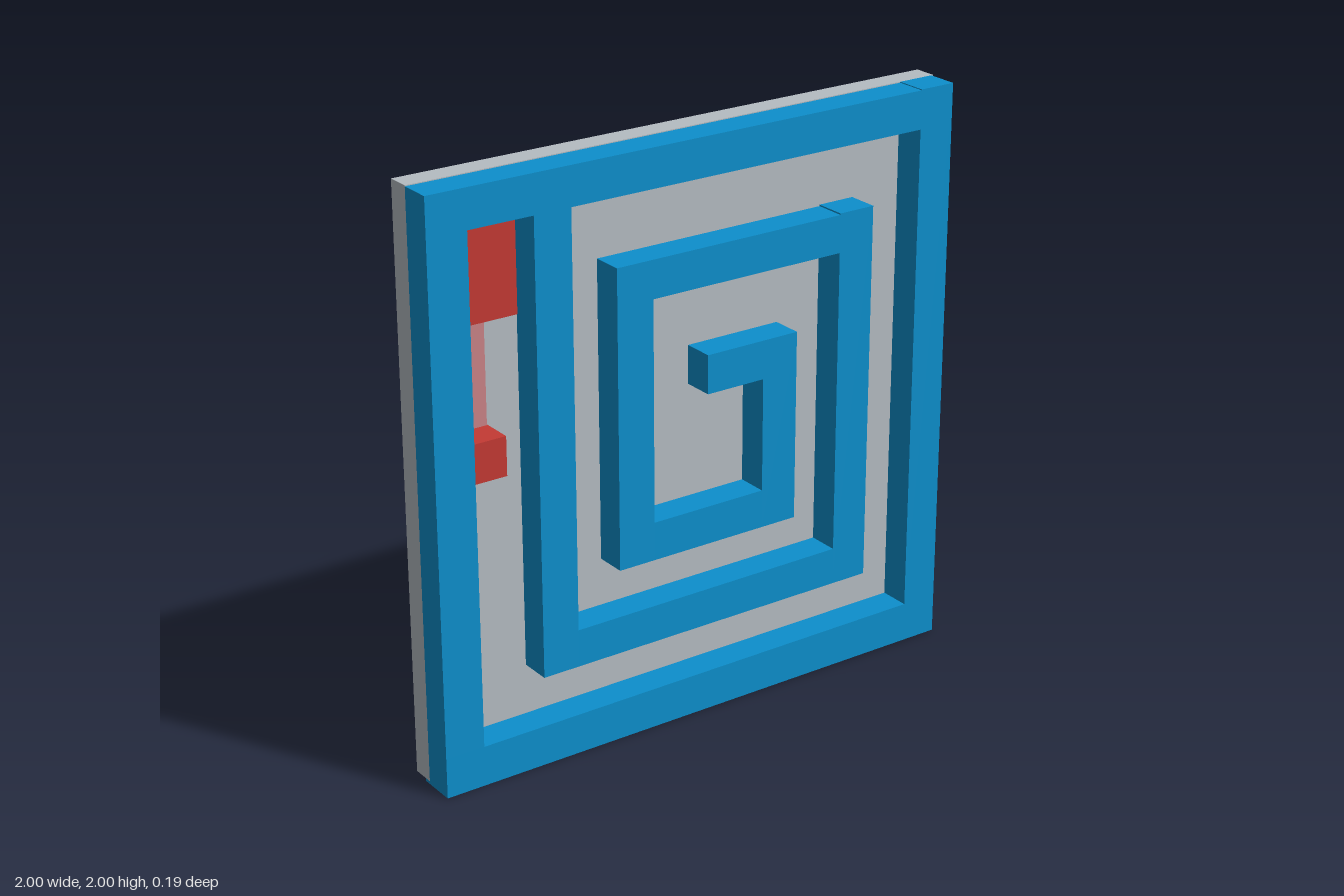
import * as THREE from 'three';

const mat = (name, color) => {
  const m = new THREE.MeshStandardMaterial({ color });
  m.name = name;
  return m;
};

export function createModel() {
  const grey = mat('plate grey', 0xb5bcc2);
  const blue = mat('wall blue', 0x0d8fcc);
  const red = mat('marker red', 0xc43a34);
  const pink = mat('trail pink', 0xca8387);

  const group = new THREE.Group();
  group.name = 'spiralMaze';
  const PLATE = -0.015, FRONT = 0.095;

  // Box given by its bounds
  const box = (parent, name, material, x0, x1, y0, y1, z0 = PLATE, z1 = FRONT) => {
    const mesh = new THREE.Mesh(new THREE.BoxGeometry(x1 - x0, y1 - y0, z1 - z0), material);
    mesh.position.set((x0 + x1) / 2, (y0 + y1) / 2, (z0 + z1) / 2);
    mesh.name = name;
    parent.add(mesh);
  };

  box(group, 'backPlate', grey, -1, 1, 0.01, 2, -0.095, PLATE);

  // Spiral walls, from the outer frame inwards: x0, x1, y0, y1
  const walls = new THREE.Group();
  walls.name = 'walls';
  group.add(walls);
  [
    ['frameLeft', -1, -0.86, 0.14, 1.865],
    ['frameTop', -1, 0.86, 1.865, 1.997],
    ['frameRight', 0.86, 0.992, 0.14, 2],
    ['outerLeft', -0.63, -0.497, 0.315, 1.865],
    ['outerBottom', -0.497, 0.535, 0.315, 0.445],
    ['outerRight', 0.535, 0.67, 0.315, 1.642],
    ['middleTop', -0.335, 0.535, 1.507, 1.637],
    ['middleLeft', -0.335, -0.2, 0.61, 1.507],
    ['middleBottom', -0.2, 0.23, 0.61, 0.743],
    ['innerRight', 0.23, 0.365, 0.61, 1.272],
    ['innerTop', 0.01, 0.23, 1.138, 1.272],
  ].forEach(([name, ...bounds]) => box(walls, name, blue, ...bounds));
  // The bottom wall reaches slightly back under the plate
  box(walls, 'frameBottom', blue, -1, 0.992, 0, 0.14, -0.04);

  // Start field, trail and playing cube
  box(group, 'startField', red, -0.86, -0.63, 1.52, 1.865, PLATE, PLATE + 0.004);
  box(group, 'trail', pink, -0.86, -0.75, 1.18, 1.52, PLATE, PLATE + 0.004);
  box(group, 'playerCube', red, -0.86, -0.747, 1.05, 1.183);

  return group;
}
